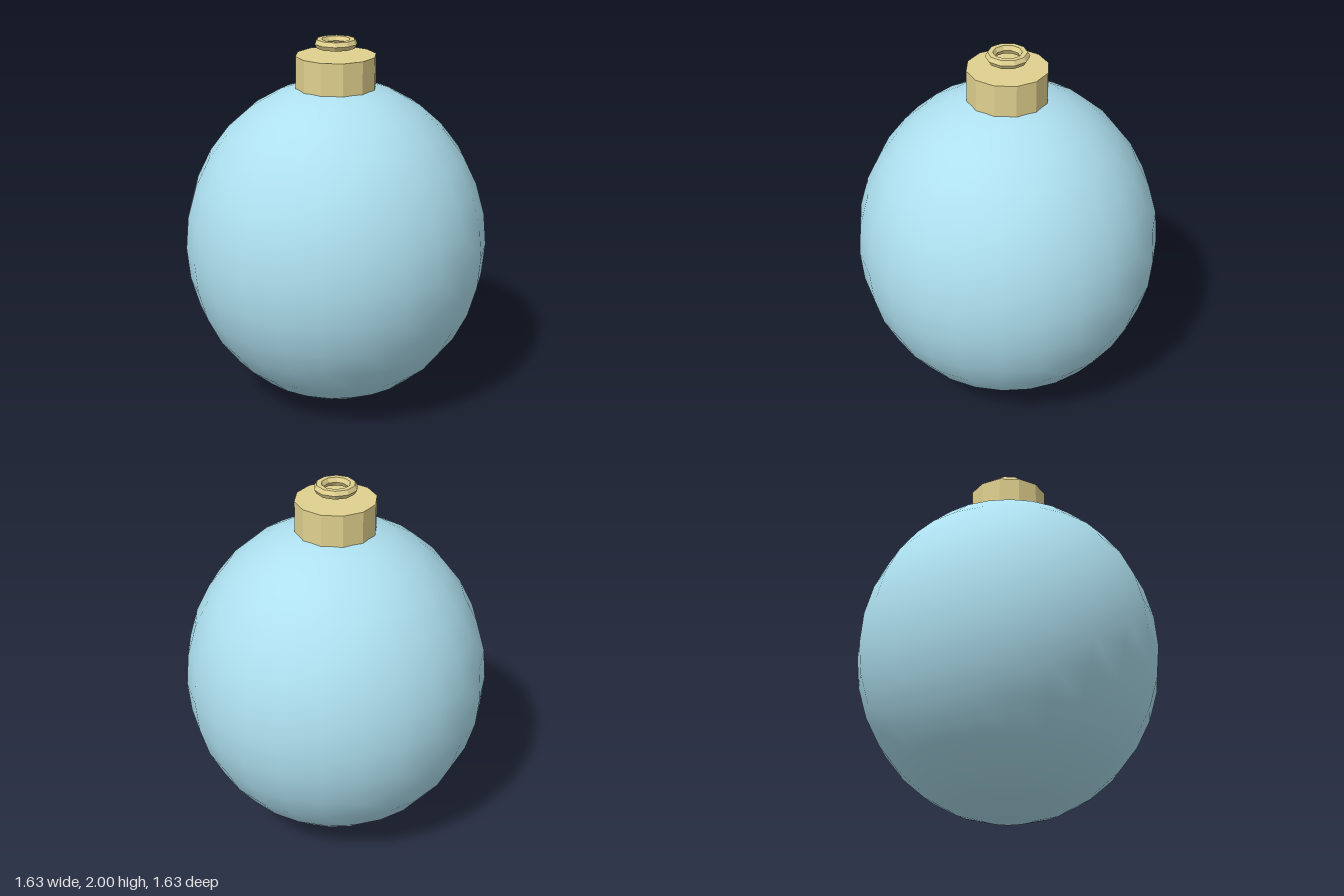
import * as THREE from 'three';

export function createModel() {
  const model = new THREE.Group();
  const glass = new THREE.MeshStandardMaterial({ color: 0xaee0f0 });
  const gold = new THREE.MeshStandardMaterial({ color: 0xe0d08e });
  gold.flatShading = true;

  const add = (name, geometry, material, y) => {
    const mesh = new THREE.Mesh(geometry, material);
    mesh.name = name;
    mesh.position.y = y;
    model.add(mesh);
  };

  // Slightly stretched glass bauble
  add('bauble', new THREE.SphereGeometry(0.815, 24, 16).scale(1, 0.89 / 0.815, 1), glass, 0.89);

  // Twelve-sided cap, sunk a little into the bauble
  add('cap', new THREE.CylinderGeometry(0.213, 0.213, 0.19, 12), gold, 1.822);

  // Flat hanging ring hovering above the cap
  add('hangingRing', new THREE.TorusGeometry(0.088, 0.026, 6, 10).rotateX(Math.PI / 2), gold, 1.978);

  return model;
}
